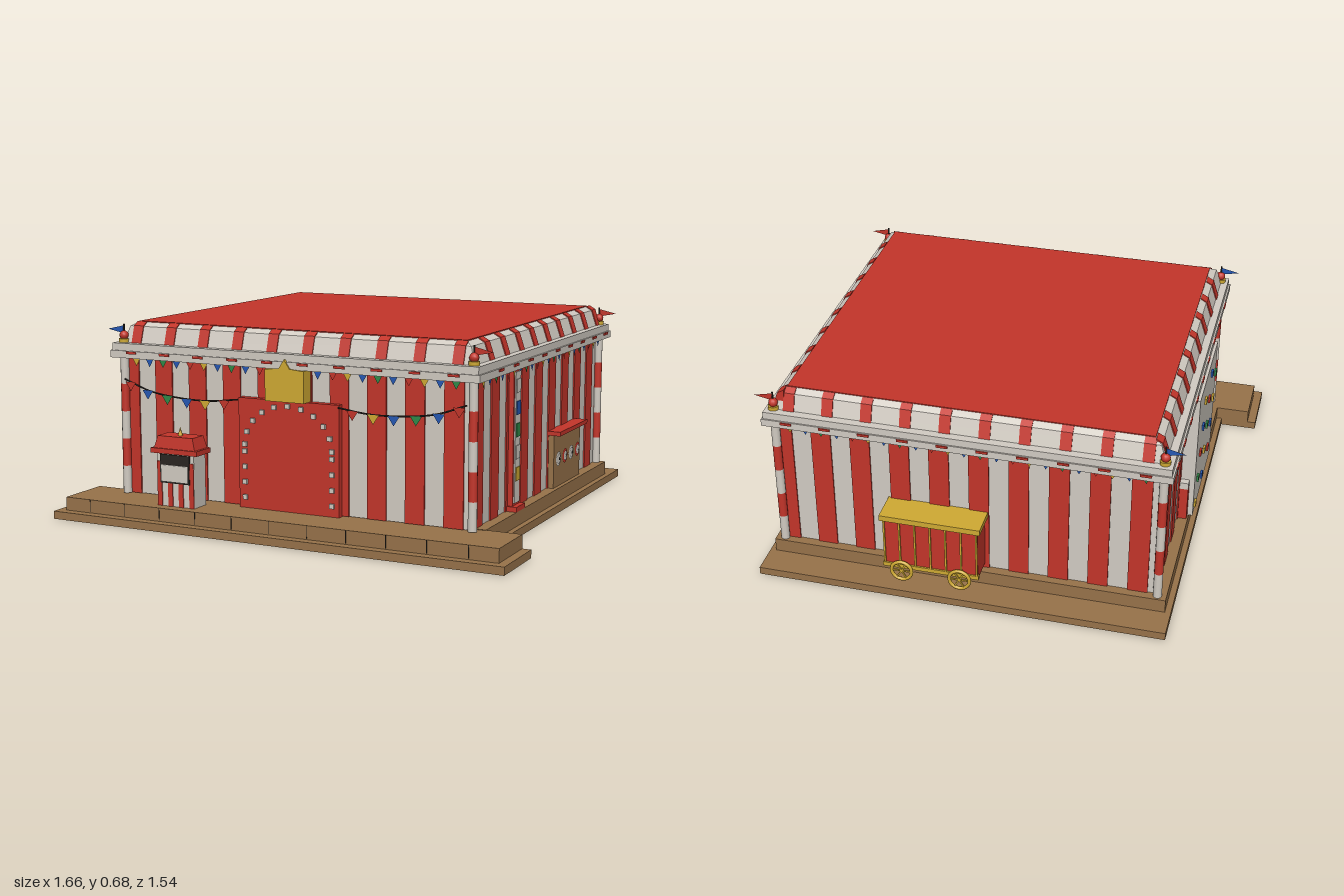
import * as THREE from 'three';

const mat = (name, color) => {
  const m = new THREE.MeshStandardMaterial({ color, side: THREE.DoubleSide });
  m.name = name;
  return m;
};

export function createModel() {
  const red = mat('red', 0xc4352a), white = mat('canvas white', 0xd2ccc3), wood = mat('wood brown', 0x98734a);
  const gold = mat('gold', 0xd0aa33), blue = mat('blue', 0x2558b4), green = mat('green', 0x2f8a48);
  const dark = mat('dark', 0x2b2622);
  const root = new THREE.Group();
  root.name = 'circusTent';

  const add = (parent, name, geo, m, x = 0, y = 0, z = 0) => {
    const mesh = new THREE.Mesh(geo, m);
    mesh.name = name;
    mesh.position.set(x, y, z);
    parent.add(mesh);
    return mesh;
  };
  // Box given by its min and max on each axis
  const box = (parent, name, m, x0, x1, y0, y1, z0, z1) =>
    add(parent, name, new THREE.BoxGeometry(x1 - x0, y1 - y0, z1 - z0), m, (x0 + x1) / 2, (y0 + y1) / 2, (z0 + z1) / 2);
  const group = (parent, name) => {
    const g = new THREE.Group();
    g.name = name;
    parent.add(g);
    return g;
  };
  const polygon = pts => new THREE.ShapeGeometry(new THREE.Shape(pts.map(p => new THREE.Vector2(...p))));
  const pennant = (w, h) => polygon([[-w / 2, 0], [0, -h], [w / 2, 0]]);
  const flagColors = [gold, blue, green, blue, red];

  // Wooden base and front step
  const base = group(root, 'base');
  box(base, 'lowerBase', wood, -0.7, 0.7, 0, 0.027, -0.74, 0.57);
  box(base, 'upperBase', wood, -0.68, 0.68, 0.027, 0.075, -0.635, 0.577);
  box(base, 'lowerStep', wood, -0.83, 0.83, 0, 0.027, 0.57, 0.8);
  box(base, 'upperStep', wood, -0.8, 0.8, 0.027, 0.073, 0.57, 0.767);
  box(base, 'floorUnderside', red, -0.6, 0.6, -0.001, 0.002, -0.57, 0.57);
  for (let x = -0.7; x < 0.75; x += 0.14) box(base, 'stepSeam', dark, x - 0.001, x + 0.001, 0.03, 0.073, 0.764, 0.768);

  // Canvas walls, cornice and roof
  const HX = 0.64, HZ = 0.603;
  box(root, 'walls', white, -HX, HX, 0.075, 0.56, -HZ, HZ);
  box(root, 'corniceLower', white, -0.683, 0.683, 0.552, 0.577, -0.65, 0.65);
  box(root, 'corniceUpper', white, -0.677, 0.677, 0.577, 0.602, -0.645, 0.645);
  const RX = 0.652, RZ = 0.617, levels = [[1, 0.6], [0.97, 0.658], [0.935, 0.671]];
  for (let i = 0; i < 2; i++) {
    const [[s0, y0], [s1, y1]] = [levels[i], levels[i + 1]];
    const geo = new THREE.CylinderGeometry(s1 * Math.SQRT2, s0 * Math.SQRT2, y1 - y0, 4).toNonIndexed();
    geo.rotateY(Math.PI / 4).scale(RX, 1, RZ);
    geo.computeVertexNormals();
    add(root, 'roofSlope', geo, white, 0, (y0 + y1) / 2, 0);
  }
  box(root, 'roofTop', red, -0.61, 0.61, 0.665, 0.674, -0.577, 0.577);

  // Everything repeated along the four sides; local +z points outward
  const sides = [
    { name: 'front', turn: 0, d: HZ, half: HX, rd: RZ, wall0: -0.63, roof: 0, cornice: 0.65 },
    { name: 'leftSide', turn: Math.PI / 2, d: HX, half: HZ, rd: RX, wall0: -0.553, roof: 0.058, cornice: 0.683 },
    { name: 'back', turn: Math.PI, d: HZ, half: HX, rd: RZ, wall0: -0.63, roof: 0, cornice: 0.65 },
    { name: 'rightSide', turn: -Math.PI / 2, d: HX, half: HZ, rd: RX, wall0: -0.553, roof: -0.04, cornice: 0.683 },
  ];
  const sideGroups = sides.map(s => {
    const g = group(root, s.name);
    g.rotation.y = s.turn;
    for (let c = s.wall0; c < s.half; c += 0.1345) {
      const a = Math.max(c - 0.034, -s.half), b = Math.min(c + 0.034, s.half);
      box(g, 'wallStripe', red, a, b, 0.075, 0.555, s.d - 0.001, s.d + 0.005);
    }
    // Roof stripes follow the slope, slightly raised
    const p = levels.map(([k, y]) => [s.rd * k + 0.003, y + 0.002]);
    const profile = new THREE.Shape([...p, [p[2][0], 0.6]].map(q => new THREE.Vector2(...q)));
    const even = s.half === HX;
    const n = even ? 10 : 9;
    for (let i = 0; i < n; i++) {
      const x = (i - (n - 1) / 2) * 0.1325 + s.roof;
      const geo = new THREE.ExtrudeGeometry(profile, { depth: 0.038, bevelEnabled: false });
      geo.translate(0, 0, -0.019).rotateY(-Math.PI / 2);
      add(g, 'roofStripe', geo, red, x, 0, 0);
      box(g, 'corniceMark', red, x - 0.019, x + 0.019, 0.567, 0.575, s.cornice - 0.002, s.cornice + 0.004);
    }
    // Bunting hung below the cornice
    const count = Math.floor(s.half * 2 / 0.054);
    for (let i = 0; i < count; i++) {
      const x = (i - (count - 1) / 2) * 0.054;
      add(g, 'buntingFlag', pennant(0.034, 0.03), flagColors[i % 5], x, 0.553, s.d + 0.022);
    }
    return g;
  });
  const [front, leftSide, back, rightSide] = sideGroups;

  // Striped corner poles with finials and pennants
  for (const sx of [-1, 1]) for (const sz of [-1, 1]) {
    const g = group(root, 'cornerPole');
    g.position.set(sx * 0.649, 0, sz * 0.614);
    for (let i = 0; i < 5; i++) {
      add(g, 'poleBand', new THREE.CylinderGeometry(0.015, 0.015, 0.096, 12), i % 2 ? red : white, 0, 0.123 + i * 0.096, 0);
    }
    add(g, 'finialBase', new THREE.CylinderGeometry(0.018, 0.018, 0.014, 12), gold, 0, 0.608, 0);
    add(g, 'finialBall', new THREE.SphereGeometry(0.016, 12, 8), red, 0, 0.626, 0);
    add(g, 'flagStaff', new THREE.CylinderGeometry(0.003, 0.003, 0.06, 6), dark, 0, 0.635, 0);
    add(g, 'cornerFlag', polygon([[0, 0.66], [sx * 0.065, 0.645], [0, 0.632]]), sx < 0 ? blue : red);
  }

  // Entrance with bulbs and a crest
  const door = group(front, 'entrance');
  box(door, 'entranceFacade', red, -0.187, 0.187, 0.073, 0.445, 0.59, 0.63);
  const bulb = (x, y) => box(door, 'bulb', white, x - 0.008, x + 0.008, y - 0.008, y + 0.008, 0.628, 0.638);
  for (const s of [-1, 1]) for (let i = 0; i < 4; i++) bulb(s * 0.163, 0.11 + i * 0.052);
  for (let i = 0; i <= 10; i++) {
    const a = Math.PI * i / 10;
    bulb(Math.cos(a) * 0.163, 0.29 + Math.sin(a) * 0.138);
  }
  const crest = new THREE.Shape([[-0.072, 0.445], [0.072, 0.445], [0.072, 0.55], [0.02, 0.555], [0, 0.585], [-0.02, 0.555], [-0.072, 0.55]]
    .map(p => new THREE.Vector2(...p)));
  add(door, 'crest', new THREE.ExtrudeGeometry(crest, { depth: 0.05, bevelEnabled: false }), gold, 0, 0, 0.605);

  // Draped cords with flags
  for (const s of [-1, 1]) {
    const curve = new THREE.CatmullRomCurve3([[0.635, 0.478], [0.53, 0.442], [0.41, 0.427], [0.3, 0.425], [0.187, 0.438]]
      .map(([x, y]) => new THREE.Vector3(s * x, y, 0.635)));
    add(front, 'buntingCord', new THREE.TubeGeometry(curve, 24, 0.003, 5), dark);
    for (let i = 0; i < 6; i++) {
      const p = curve.getPoint(0.06 + i * 0.165);
      add(front, 'drapedFlag', pennant(0.042, 0.032), [red, blue, green, blue, gold, red][i], p.x, p.y, p.z + 0.003);
    }
  }

  // Ticket booth
  const booth = group(front, 'ticketBooth');
  box(booth, 'boothBody', white, -0.45, -0.305, 0.073, 0.255, 0.655, 0.727);
  for (let i = 0; i < 4; i++) {
    const x = -0.448 + i * 0.0415;
    box(booth, 'boothStripe', red, x, x + 0.018, 0.073, 0.225, 0.725, 0.73);
  }
  box(booth, 'boothOpening', dark, -0.435, -0.32, 0.215, 0.25, 0.725, 0.732);
  box(booth, 'boothFrame', dark, -0.435, -0.32, 0.153, 0.22, 0.725, 0.732);
  box(booth, 'boothSign', white, -0.43, -0.325, 0.158, 0.215, 0.729, 0.736);
  box(booth, 'boothEave', red, -0.468, -0.288, 0.253, 0.27, 0.648, 0.737);
  const boothRoof = new THREE.CylinderGeometry(0.85 * Math.SQRT2, Math.SQRT2, 0.042, 4).toNonIndexed();
  boothRoof.rotateY(Math.PI / 4).scale(0.08, 1, 0.04);
  boothRoof.computeVertexNormals();
  add(booth, 'boothRoof', boothRoof, red, -0.378, 0.29, 0.692);
  add(booth, 'boothFinial', new THREE.ConeGeometry(0.009, 0.03, 8), gold, -0.378, 0.325, 0.692);

  // Target stall, on the model's left wall
  const stall = group(leftSide, 'targetStall');
  box(stall, 'stallBody', wood, 0.09, 0.37, 0.075, 0.265, 0.63, 0.665);
  box(stall, 'stallRoof', red, 0.083, 0.377, 0.265, 0.28, 0.63, 0.69);
  [0.135, 0.203, 0.27, 0.338].forEach((x, i) => {
    const disc = (name, r, m, z) => add(stall, name, new THREE.CircleGeometry(r, 20), m, x, 0.175, z);
    disc('targetRim', 0.026, i % 2 ? red : white, 0.667);
    disc('targetFace', 0.018, white, 0.669);
    disc('targetCentre', 0.006, i % 2 ? white : dark, 0.671);
  });

  // Strength tester banner
  const tester = group(leftSide, 'strengthTester');
  box(tester, 'testerFrame', red, -0.302, -0.24, 0.09, 0.55, 0.64, 0.662);
  box(tester, 'testerFace', white, -0.294, -0.248, 0.1, 0.54, 0.66, 0.666);
  [gold, white, green, blue, white].forEach((m, i) =>
    box(tester, 'testerPanel', m, -0.288, -0.254, 0.175 + i * 0.074, 0.22 + i * 0.074, 0.663, 0.669));
  box(tester, 'testerFoot', red, -0.31, -0.232, 0.075, 0.092, 0.64, 0.68);

  // Climbing board with coloured holds, on the model's right wall
  const board = group(rightSide, 'climbingBoard');
  box(board, 'boardPanel', white, -0.15, 0.26, 0.075, 0.55, 0.63, 0.693);
  const holds = [gold, blue, red, green];
  for (let i = 0; i < 14; i++) {
    const x = -0.12 + ((i * 5) % 14) * 0.027, y = 0.11 + i * 0.03;
    box(board, 'hold', holds[i % 4], x - 0.011, x + 0.011, y - 0.011, y + 0.011, 0.69, 0.7);
  }
  box(board, 'holdEdge', blue, 0.255, 0.268, 0.29, 0.33, 0.66, 0.693);
  box(board, 'holdEdge', gold, 0.255, 0.268, 0.08, 0.11, 0.66, 0.693);
  box(board, 'boardPost', red, -0.175, -0.15, 0.075, 0.2, 0.64, 0.675);
  box(board, 'boardPostCap', white, -0.175, -0.15, 0.2, 0.225, 0.64, 0.675);

  // Caged wagon against the back wall
  const wagon = group(back, 'wagon');
  box(wagon, 'wagonBody', red, -0.262, 0.062, 0.095, 0.285, 0.6, 0.7);
  box(wagon, 'wagonRoof', gold, -0.27, 0.073, 0.285, 0.305, 0.6, 0.713);
  box(wagon, 'wagonSill', gold, -0.265, 0.065, 0.095, 0.11, 0.69, 0.706);
  for (let i = 0; i < 7; i++) {
    const x = -0.258 + i * 0.0527;
    box(wagon, 'wagonBar', gold, x - 0.003, x + 0.003, 0.105, 0.285, 0.698, 0.705);
  }
  for (const x of [-0.2, 0]) {
    add(wagon, 'wheelRim', new THREE.TorusGeometry(0.035, 0.006, 8, 20), gold, x, 0.088, 0.71);
    for (let k = 0; k < 3; k++) {
      add(wagon, 'wheelSpoke', new THREE.BoxGeometry(0.07, 0.005, 0.005), gold, x, 0.088, 0.71).rotation.z = k * Math.PI / 3;
    }
  }
  return root;
}
